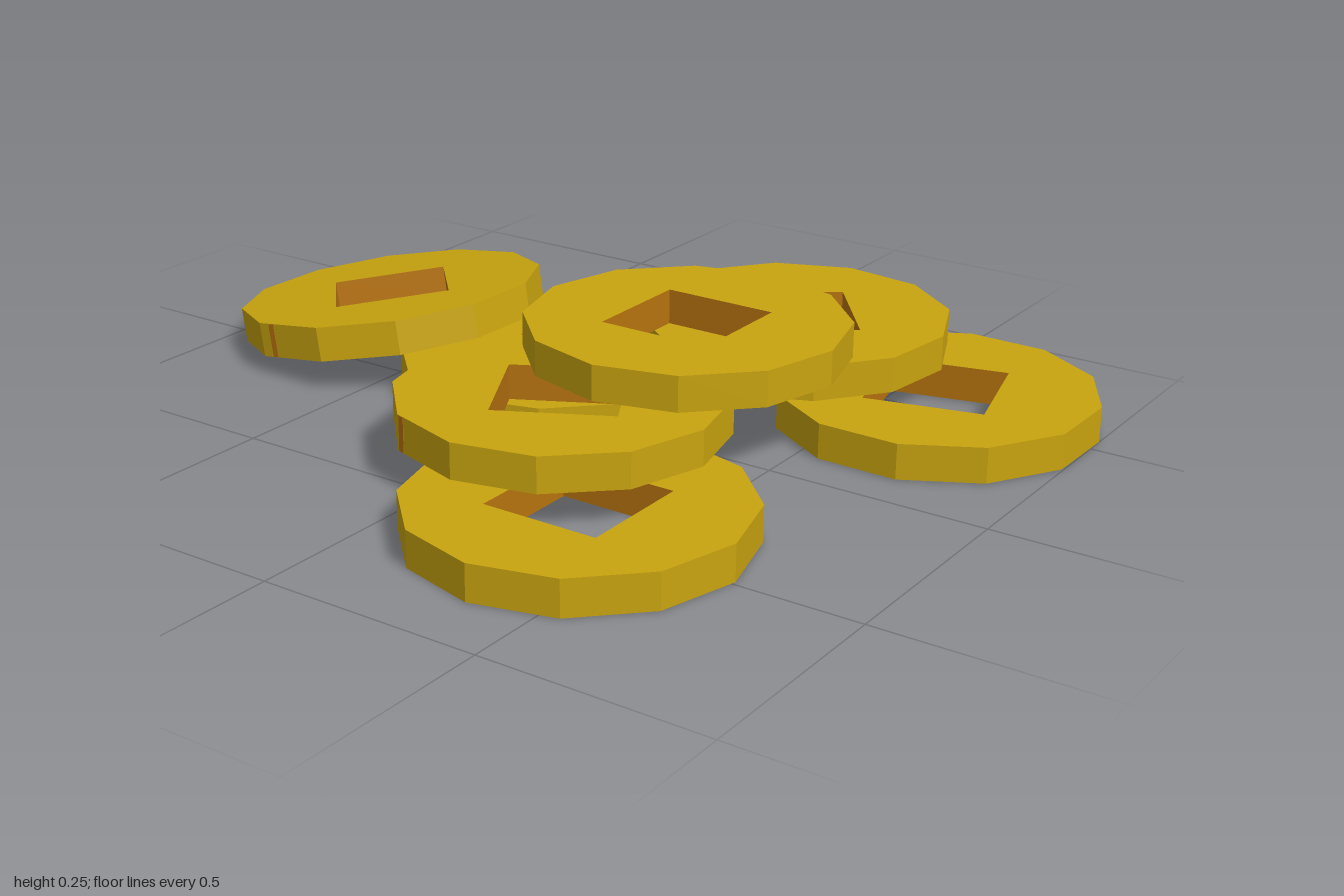
import * as THREE from 'three';

const RADIUS = 0.36, THICK = 0.08, HOLE = 0.133, SIDES = 12;

// Twelve-sided disc with a square hole; the hole walls use the second material
function coinGeometry() {
  const rim = [];
  for (let i = 0; i < SIDES; i++) {
    const a = (i / SIDES) * Math.PI * 2;
    rim.push(new THREE.Vector2(Math.cos(a) * RADIUS, Math.sin(a) * RADIUS));
  }
  const shape = new THREE.Shape(rim);
  const corners = [[-1, -1], [-1, 1], [1, 1], [1, -1]];
  shape.holes.push(new THREE.Path(corners.map(([x, y]) => new THREE.Vector2(x * HOLE, y * HOLE))));
  const geo = new THREE.ExtrudeGeometry(shape, { depth: THICK, bevelEnabled: false });
  geo.translate(0, 0, -THICK / 2);
  geo.rotateX(-Math.PI / 2);

  // The last 4 x 6 vertices are the walls of the square hole
  const total = geo.attributes.position.count, walls = 4 * 6;
  geo.clearGroups();
  geo.addGroup(0, total - walls, 0);
  geo.addGroup(total - walls, walls, 1);
  return geo;
}

export function createModel() {
  const model = new THREE.Group();
  model.name = 'coinPile';
  const gold = new THREE.MeshStandardMaterial({ color: 0xc9a40f });
  gold.name = 'gold';
  const bronze = new THREE.MeshStandardMaterial({ color: 0xb87410 });
  bronze.name = 'bronze';
  const geo = coinGeometry();

  // mark: [rim face index, offset along that face] of a thin bronze nick
  const coins = [
    { name: 'bottomCoinFront', at: [0.36, 0.04, 0.49], spin: 0 },
    { name: 'bottomCoinMiddle', at: [-0.16, 0.04, -0.15], spin: 0 },
    { name: 'bottomCoinBack', at: [0.65, 0.04, -0.46], spin: 14 },
    { name: 'middleCoinBack', at: [0.26, 0.122, -0.5], spin: 37.5, mark: [8, 0.04] },
    { name: 'middleCoinFront', at: [0.122, 0.125, 0.218], spin: 28, mark: [4, 0.08] },
    { name: 'topCoin', at: [0.21, 0.205, -0.125], spin: 0 },
    { name: 'leaningCoin', at: [-0.645, 0.1, -0.15], spin: 42, tilt: 9, mark: [4, 0.055] },
  ];

  for (const { name, at, spin, tilt = 0, mark } of coins) {
    const coin = new THREE.Group();
    coin.name = name;
    coin.position.set(...at);
    coin.rotation.set(0, THREE.MathUtils.degToRad(spin), THREE.MathUtils.degToRad(tilt), 'ZYX');
    const disc = new THREE.Mesh(geo, [gold, bronze]);
    disc.name = 'disc';
    coin.add(disc);

    // Thin nick on the rim
    if (mark) {
      const a = ((mark[0] + 0.5) / SIDES) * Math.PI * 2;
      const apothem = RADIUS * Math.cos(Math.PI / SIDES);
      const nick = new THREE.Mesh(new THREE.BoxGeometry(0.002, THICK * 0.98, 0.016), bronze);
      nick.name = 'rimNick';
      nick.rotation.y = -a;
      nick.position.set(
        Math.cos(a) * apothem - Math.sin(a) * mark[1], 0,
        Math.sin(a) * apothem + Math.cos(a) * mark[1]);
      coin.add(nick);
    }
    model.add(coin);
  }
  return model;
}
